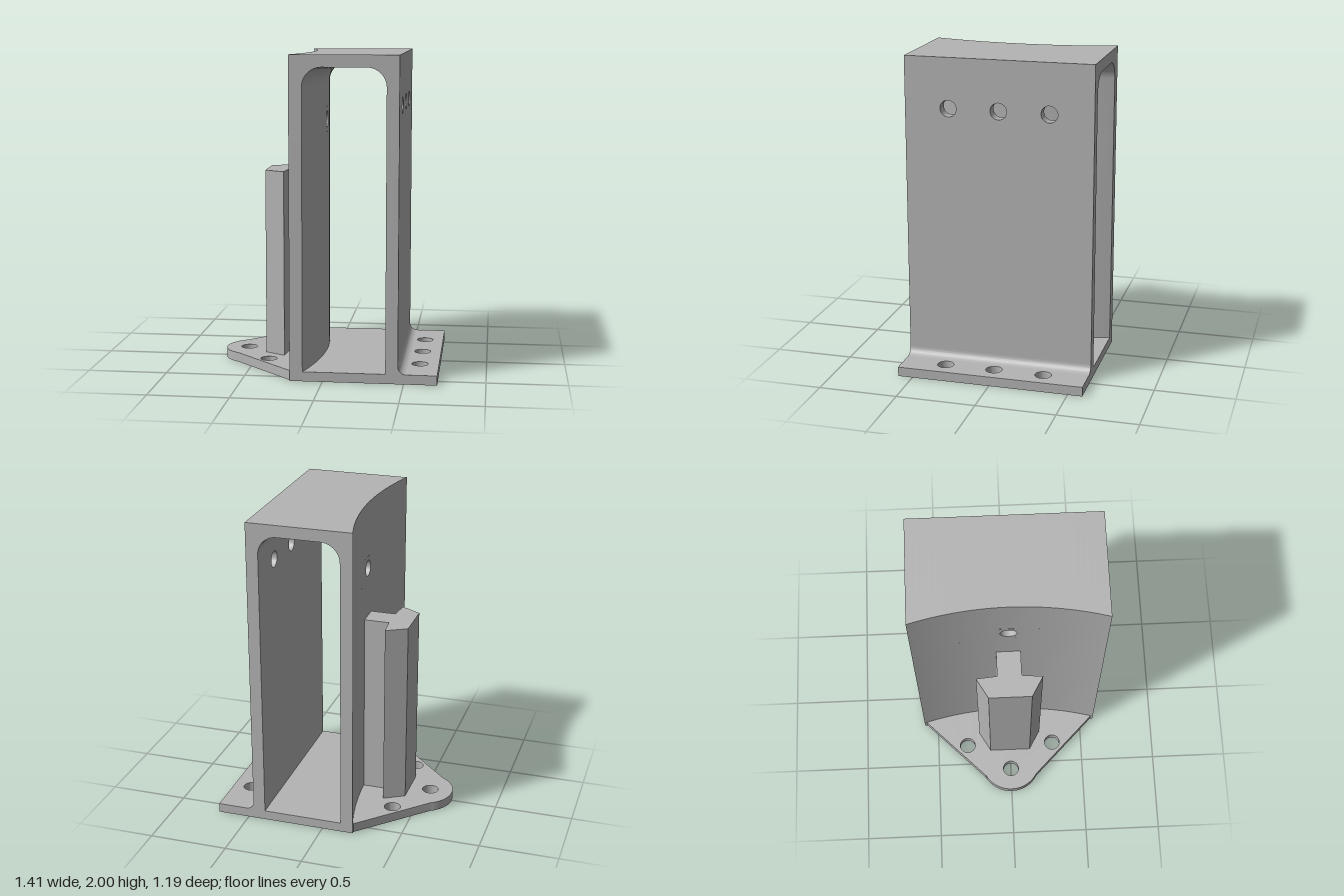
import * as THREE from 'three';
import { toCreasedNormals } from 'three/addons/utils/BufferGeometryUtils.js';

const HALF = 0.593;      // half depth along z
const BASE = 0.06;       // base plate thickness
const SAG = 0.083;       // how far the curved wall bows inwards
const R = (HALF * HALF + SAG * SAG) / (2 * SAG);

// x offset of the concave wall at depth z
const bow = (z) => Math.sqrt(R * R - z * z) - (R - SAG);

const poly = (pts) => new THREE.Shape(pts.map(([x, y]) => new THREE.Vector2(x, y)));

function drill(shape, holes, r) {
  for (const [x, y] of holes) {
    const p = new THREE.Path();
    p.absarc(x, y, r, 0, Math.PI * 2, true);
    shape.holes.push(p);
  }
  return shape;
}

const extrude = (shape, depth, steps = 1) =>
  new THREE.ExtrudeGeometry(shape, { depth, steps, bevelEnabled: false, curveSegments: 16 });

// plan outline (x, z) raised along y
const raise = (shape, y, h) => extrude(shape, h).rotateX(-Math.PI / 2).translate(0, y, 0);

// xy section run along z
const run = (shape, z0, z1, steps = 1) => extrude(shape, z1 - z0, steps).translate(0, 0, z0);

// zy panel given thickness along x
const panel = (shape, x, t) => extrude(shape, t).rotateY(Math.PI / 2).translate(x, 0, 0);

// shift everything left of x = 0.2 to follow the concave wall
function bend(geo) {
  const p = geo.attributes.position;
  for (let i = 0; i < p.count; i++) {
    if (p.getX(i) < 0.2) p.setX(i, p.getX(i) + bow(p.getZ(i)));
  }
  return geo;
}

export function createModel() {
  const model = new THREE.Group();
  model.name = 'mountingBracket';
  const metal = new THREE.MeshStandardMaterial({ color: 0xb4b4b4 });
  metal.name = 'grey metal';

  const add = (name, geo) => {
    const mesh = new THREE.Mesh(toCreasedNormals(geo, 0.5), metal);
    mesh.name = name;
    model.add(mesh);
  };

  // base plate with rounded nose and six bolt holes
  const base = new THREE.Shape();
  base.moveTo(0.705, -HALF);
  base.lineTo(0.705, HALF);
  base.lineTo(-0.203, HALF);
  base.lineTo(-0.203, 0.575);
  base.lineTo(-0.603, 0.175);
  const a = Math.atan2(0.175, -0.098);
  base.absarc(-0.505, 0, 0.2, a, 2 * Math.PI - a, false);
  base.lineTo(-0.203, -0.575);
  base.lineTo(-0.203, -HALF);
  drill(base, [[0.585, -0.317], [0.585, 0], [0.585, 0.317], [-0.558, 0], [-0.38, 0.295], [-0.38, -0.295]], 0.052);
  add('basePlate', raise(base, 0, BASE));

  // flat wall with a row of three holes
  const flat = drill(
    poly([[-HALF, BASE], [HALF, BASE], [HALF, 2], [-HALF, 2]]),
    [[-0.317, 1.685], [0, 1.685], [0.317, 1.685]], 0.052);
  add('flatWall', panel(flat, 0.388, 0.077));

  // fillet between flat wall and base flange
  const fillet = new THREE.Shape();
  fillet.moveTo(0.465, BASE);
  fillet.lineTo(0.515, BASE);
  fillet.absarc(0.515, BASE + 0.05, 0.05, -Math.PI / 2, -Math.PI, true);
  add('baseFillet', run(fillet, -HALF, HALF));

  // concave wall, in strips around one drilled panel
  const X0 = -0.203, X1 = -0.123, Y0 = 1.49, Y1 = 1.65, W = 0.08;
  const strip = (y0, y1) => poly([[X0, y0], [X1, y0], [X1, y1], [X0, y1]]);
  add('curvedWallLower', bend(run(strip(BASE, Y0), -HALF, HALF, 32)));
  add('curvedWallBack', bend(run(strip(Y0, Y1), -HALF, -W, 14)));
  add('curvedWallFront', bend(run(strip(Y0, Y1), W, HALF, 14)));
  const drilled = drill(poly([[-W, Y0], [W, Y0], [W, Y1], [-W, Y1]]), [[0, 1.57]], 0.052);
  add('curvedWallDrilledPanel', bend(panel(drilled, X0, X1 - X0)));

  // top slab with rounded inner corners
  const r = 0.12, under = 1.925;
  const cap = new THREE.Shape();
  cap.moveTo(X0, Y1);
  cap.lineTo(X1, Y1);
  cap.absarc(X1 + r, under - r, r, Math.PI, Math.PI / 2, true);
  cap.absarc(0.388 - r, under - r, r, Math.PI / 2, 0, true);
  cap.lineTo(0.388, 2);
  cap.lineTo(X0, 2);
  add('topSlab', bend(run(cap, -HALF, HALF, 32)));

  // dovetail rail standing against the concave wall
  const half = [[-0.1, 0.077], [-0.281, 0.077], [-0.293, 0.21], [-0.422, 0.136]];
  const rail = poly([...half, ...half.map(([x, z]) => [x, -z]).reverse()]);
  add('dovetailRail', raise(rail, BASE, 1.25 - BASE));

  return model;
}
